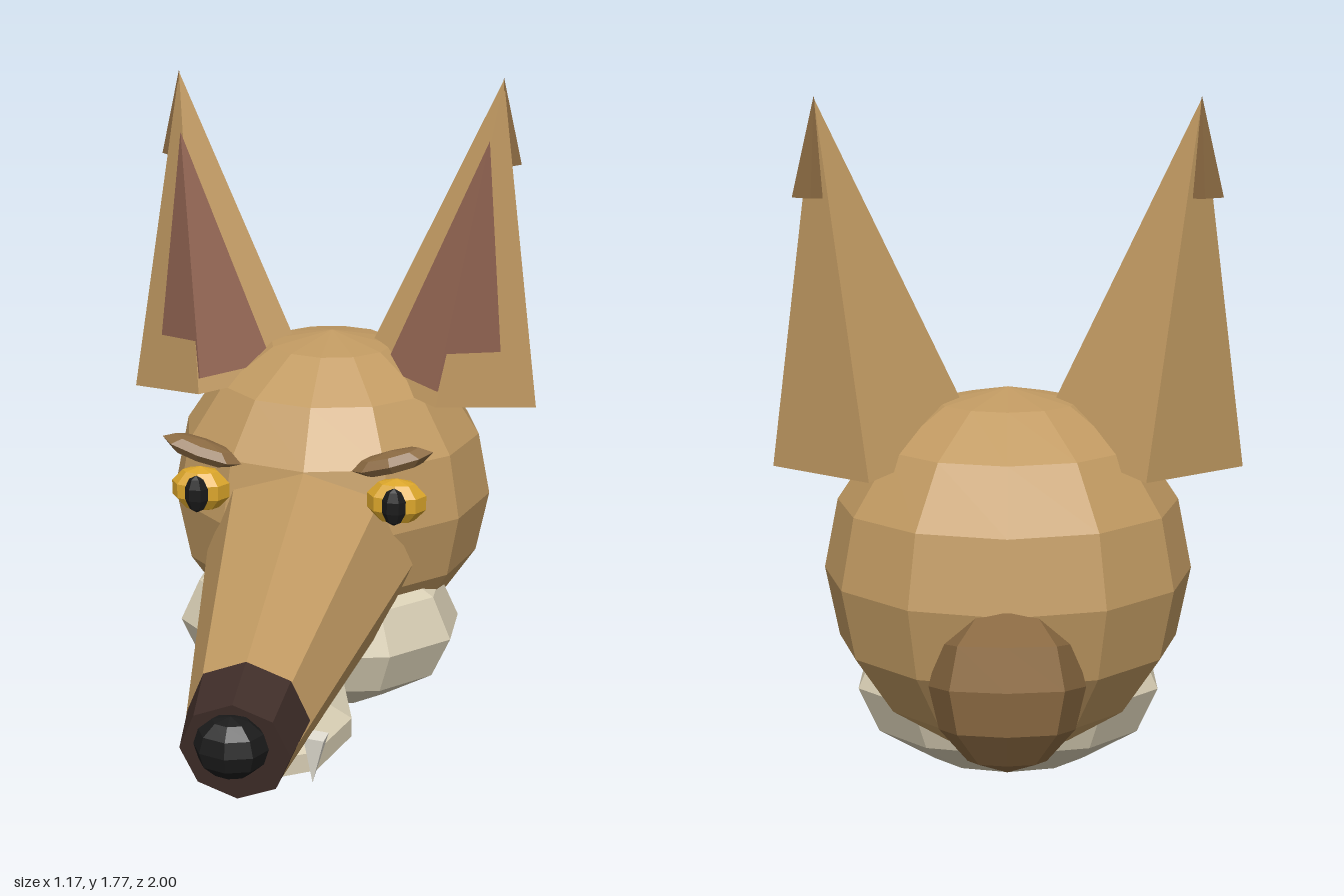
import * as THREE from 'three';

const mat = (color) => new THREE.MeshStandardMaterial({ color, flatShading: true });
const V = (x, y, z) => new THREE.Vector3(x, y, z);

export function createModel() {
  const model = new THREE.Group();
  const fur = mat(0xc19a62), darkFur = mat(0x8b6a42), muzzle = mat(0x3f2d28);
  const innerFur = mat(0x8f6250), cream = mat(0xd8ceb4), black = mat(0x1a1a1a);
  const gold = mat(0xdaa52a), ivory = mat(0xe6e2d6);

  const add = (name, geometry, material, parent = model) => {
    const mesh = new THREE.Mesh(geometry, material);
    mesh.name = name;
    parent.add(mesh);
    return mesh;
  };

  // Faceted ellipsoid
  const ball = (name, material, pos, radii, w, h, parent) => {
    const mesh = add(name, new THREE.SphereGeometry(1, w, h), material, parent);
    mesh.position.set(...pos);
    mesh.scale.set(...radii);
    return mesh;
  };

  // Tapered prism running from point a to point b
  const taper = (name, material, a, b, ra, rb, sides, parent) => {
    const dir = b.clone().sub(a);
    const mesh = add(name, new THREE.CylinderGeometry(rb, ra, dir.length(), sides), material, parent);
    mesh.position.copy(a).add(b).multiplyScalar(0.5);
    mesh.quaternion.setFromUnitVectors(V(0, 1, 0), dir.normalize());
    return mesh;
  };

  // Skull and bump at the back of the neck
  ball('head', fur, [0, 0.6, -0.377], [0.463, 0.463, 0.463], 12, 8);
  ball('neckBump', darkFur, [0, 0.415, -0.77], [0.185, 0.2, 0.235], 8, 6).rotation.x = 0.25;

  // Snout, dark muzzle end and nose
  taper('snout', fur, V(0, 0.5, -0.03), V(0, 0.368, 0.87), 0.29, 0.132, 8);
  taper('muzzleEnd', muzzle, V(0, 0.394, 0.74), V(0, 0.37, 0.892), 0.152, 0.134, 8);
  ball('nose', black, [0, 0.405, 0.93], [0.09, 0.077, 0.07], 8, 6);

  // Lower jaw and throat ruff
  ball('jaw', cream, [0, 0.195, 0.37], [0.2, 0.084, 0.3], 8, 5);
  const ruff = add('throatRuff', new THREE.SphereGeometry(1, 10, 6).rotateY(Math.PI / 2), cream);
  ruff.position.set(0, 0.25, -0.2);
  ruff.scale.set(0.41, 0.24, 0.3);

  // Paired parts
  for (const s of [1, -1]) {
    const side = s > 0 ? 'left' : 'right';

    // Ear with inner lining and dark tip
    const ear = new THREE.Group();
    ear.name = side + 'Ear';
    model.add(ear);
    taper('earShell', fur, V(s * 0.33, 0.9, -0.385), V(s * 0.46, 1.77, -0.47), 0.26, 0, 4, ear);
    taper('earLining', innerFur, V(s * 0.33, 0.95, -0.31), V(s * 0.435, 1.615, -0.377), 0.17, 0, 4, ear);
    taper('earTip', darkFur, V(s * 0.466, 1.535, -0.478), V(s * 0.46, 1.776, -0.47), 0.05, 0, 4, ear);

    // Eye, pupil and brow
    ball(side + 'Eye', gold, [s * 0.265, 0.742, 0.13], [0.083, 0.063, 0.054], 8, 5);
    ball(side + 'Pupil', black, [s * 0.265, 0.742, 0.178], [0.033, 0.052, 0.022], 6, 5);
    ball(side + 'Brow', darkFur, [s * 0.255, 0.857, 0.15], [0.112, 0.03, 0.05], 8, 4).rotation.z = s * 0.3;

    // Fang
    taper(side + 'Fang', ivory, V(s * 0.14, 0.285, 0.607), V(s * 0.132, 0.155, 0.61), 0.037, 0, 4);
  }
  return model;
}
